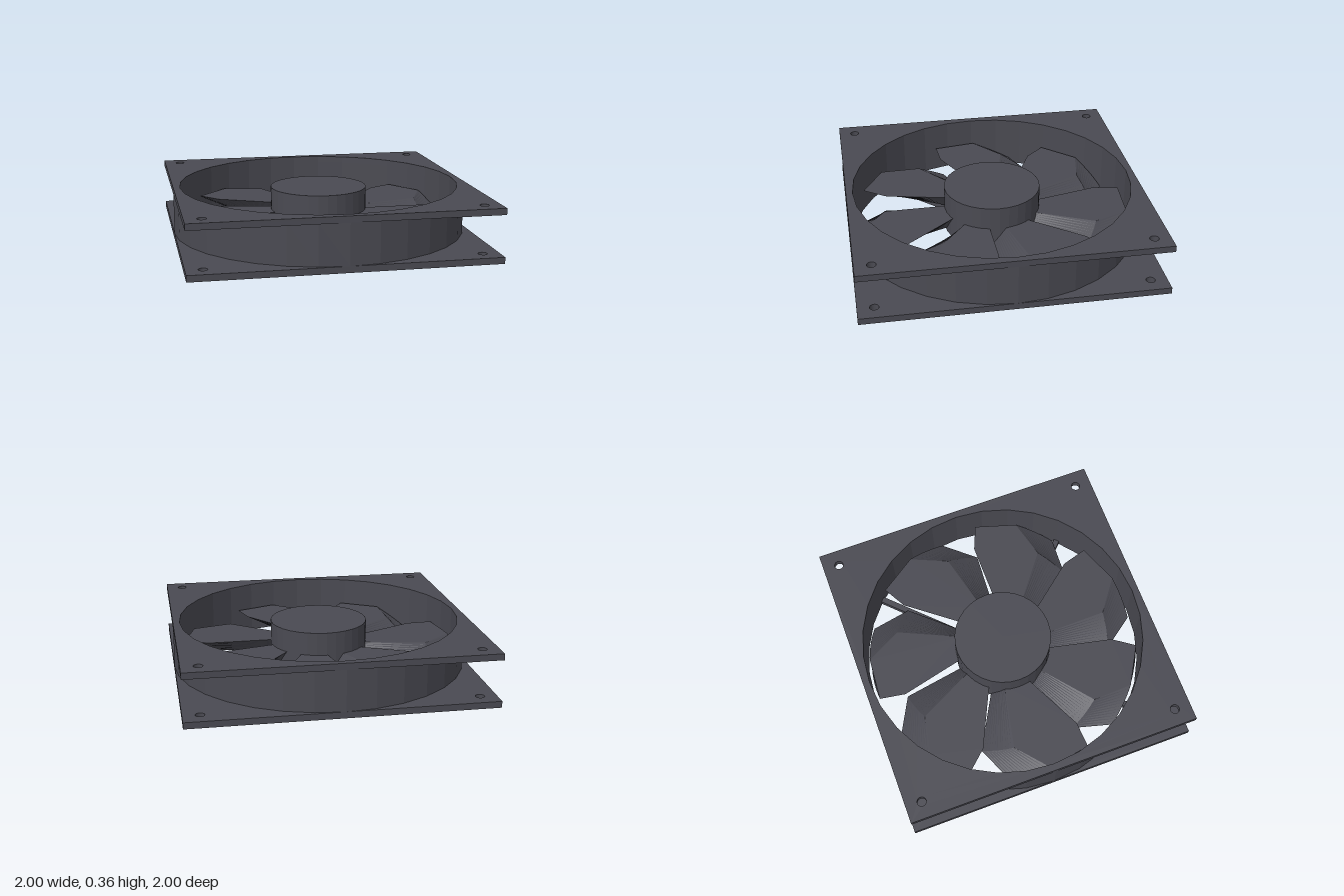
import * as THREE from 'three';

const BLADES = 7;
const SIDES = 32;
const PLATE = 0.043;

// Square plate with a large round opening and four corner screw holes
function plateGeometry() {
  const shape = new THREE.Shape([[-1, -1], [1, -1], [1, 1], [-1, 1]].map(([x, y]) => new THREE.Vector2(x, y)));
  const addHole = (x, y, r) => {
    const hole = new THREE.Path();
    hole.absarc(x, y, r, 0, Math.PI * 2, true);
    shape.holes.push(hole);
  };
  addHole(0, 0, 0.955);
  for (const x of [-0.89, 0.89]) for (const y of [-0.89, 0.89]) addHole(x, y, 0.03);
  const geo = new THREE.ExtrudeGeometry(shape, { depth: PLATE, bevelEnabled: false, curveSegments: SIDES / 2 });
  return geo.rotateX(-Math.PI / 2);
}

// Solid blade along +x: a flat paddle outline, given as [radius, degrees],
// extruded upwards in slices that turn around the fan's axis
function bladeGeometry() {
  const outline = [[0.31, -18], [0.745, -14.5], [0.93, -0.5], [0.93, 17.7], [0.76, 21], [0.31, 13.5]];
  const height = 0.125;
  const twist = THREE.MathUtils.degToRad(17.2);
  const shape = new THREE.Shape(outline.map(([r, deg]) => {
    const a = THREE.MathUtils.degToRad(deg);
    return new THREE.Vector2(r * Math.cos(a), r * Math.sin(a));
  }));
  const geo = new THREE.ExtrudeGeometry(shape, { depth: height, steps: 12, bevelEnabled: false });
  geo.rotateX(-Math.PI / 2);
  const pos = geo.attributes.position;
  const axis = new THREE.Vector3(0, 1, 0);
  const v = new THREE.Vector3();
  for (let i = 0; i < pos.count; i++) {
    v.fromBufferAttribute(pos, i);
    v.applyAxisAngle(axis, twist * (v.y / height - 1));
    pos.setXYZ(i, v.x, v.y, v.z);
  }
  geo.computeVertexNormals();
  return geo;
}

export function createModel() {
  const group = new THREE.Group();
  const plastic = new THREE.MeshStandardMaterial({ color: 0x4a4a52, flatShading: true });
  plastic.name = 'charcoalPlastic';

  const add = (name, geometry, y = 0, turn = 0) => {
    const mesh = new THREE.Mesh(geometry, plastic);
    mesh.name = name;
    mesh.position.y = y;
    mesh.rotation.y = turn;
    group.add(mesh);
  };

  // Housing: two plates joined by a round duct
  const plate = plateGeometry();
  add('bottomPlate', plate, 0);
  add('topPlate', plate, 0.36 - PLATE);
  const low = PLATE, high = 0.36 - PLATE;
  const profile = [[0.955, low], [1, low], [1, high], [0.955, high], [0.955, low]];
  add('duct', new THREE.LatheGeometry(profile.map(([x, y]) => new THREE.Vector2(x, y)), SIDES));

  // Crossed struts carrying the hub
  const strut = new THREE.BoxGeometry(1.92, 0.04, 0.04);
  add('strut', strut, 0.02, Math.PI / 4);
  add('strut', strut, 0.02, -Math.PI / 4);

  // Rotor
  add('hub', new THREE.CylinderGeometry(0.33, 0.33, 0.305, SIDES), 0.1825);
  const blade = bladeGeometry();
  for (let i = 0; i < BLADES; i++) add('blade', blade, 0.055, Math.PI + (i / BLADES) * Math.PI * 2);

  return group;
}
